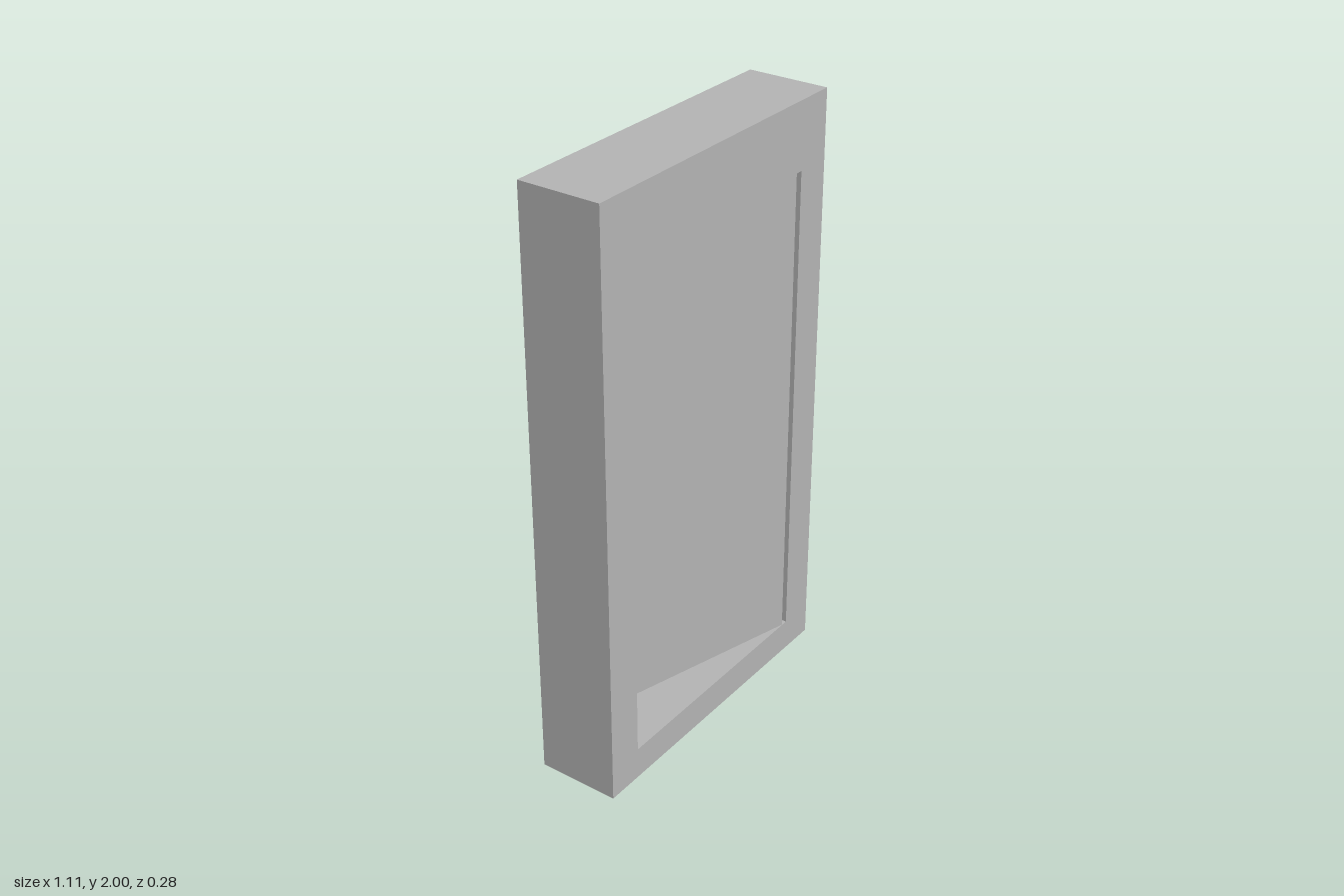
import * as THREE from 'three';

const OUTER = { w: 1.106, h: 2, d: 0.279 };
const OPENING = { w: 0.848, bottom: 0.11, top: 1.774 };
const PANEL_THICKNESS = 0.048;
const PANEL_ANGLE = THREE.MathUtils.degToRad(16);

// Counter-clockwise rectangle corners
function rect(halfWidth, bottom, top) {
  return [
    new THREE.Vector2(-halfWidth, bottom),
    new THREE.Vector2(halfWidth, bottom),
    new THREE.Vector2(halfWidth, top),
    new THREE.Vector2(-halfWidth, top),
  ];
}

export function createModel() {
  const model = new THREE.Group();
  model.name = 'pivotDoor';

  const grey = new THREE.MeshStandardMaterial({ color: 0xb2b2b2 });
  grey.name = 'plain grey';

  // Deep surround with one rectangular opening
  const outline = new THREE.Shape(rect(OUTER.w / 2, 0, OUTER.h));
  outline.holes.push(new THREE.Path(rect(OPENING.w / 2, OPENING.bottom, OPENING.top).reverse()));
  const frameGeometry = new THREE.ExtrudeGeometry(outline, { depth: OUTER.d, bevelEnabled: false });
  frameGeometry.translate(0, 0, -OUTER.d / 2 + 0.001);
  const frame = new THREE.Mesh(frameGeometry, grey);
  frame.name = 'frame';
  model.add(frame);

  // Panel as wide as the opening, turned about its upright centre line
  const height = OPENING.top - OPENING.bottom;
  const panel = new THREE.Mesh(new THREE.BoxGeometry(OPENING.w, height, PANEL_THICKNESS), grey);
  panel.name = 'pivotPanel';
  panel.position.set(0, OPENING.bottom + height / 2, -0.001);
  panel.rotation.y = -PANEL_ANGLE;
  model.add(panel);

  return model;
}
